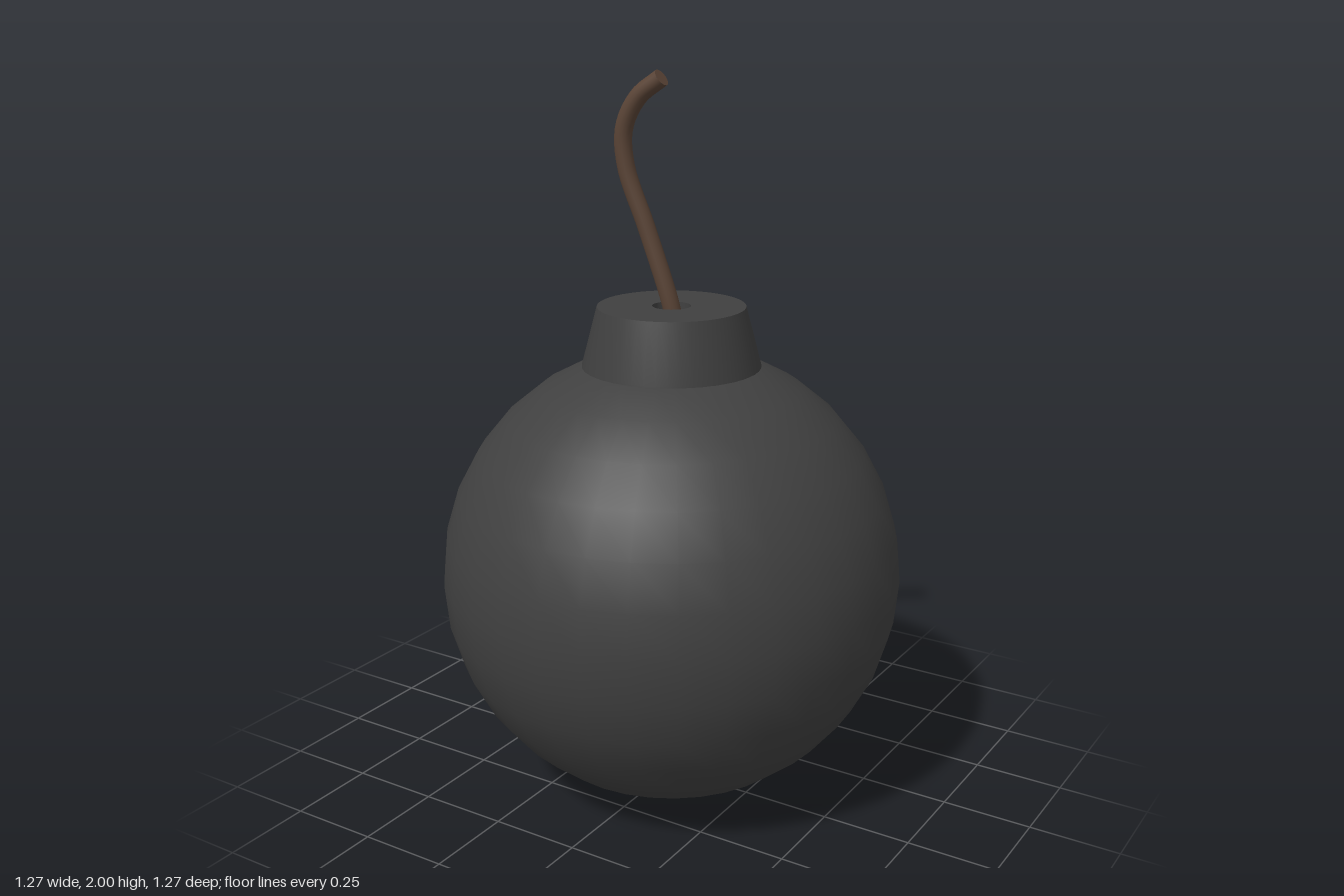
import * as THREE from 'three';
import { toCreasedNormals } from 'three/addons/utils/BufferGeometryUtils.js';

const v2 = (x, y) => new THREE.Vector2(x, y);
const v3 = (x, y, z) => new THREE.Vector3(x, y, z);

export function createModel() {
  const model = new THREE.Group();
  const iron = new THREE.MeshStandardMaterial({ color: 0x404040 });
  const cord = new THREE.MeshStandardMaterial({ color: 0x5a4436 });

  const add = (name, geometry, material, parent = model) => {
    const mesh = new THREE.Mesh(geometry, material);
    mesh.name = name;
    parent.add(mesh);
    return mesh;
  };

  // Round body resting on the ground
  const radius = 0.635;
  add('body', new THREE.SphereGeometry(radius, 32, 16), iron).position.y = radius;

  // Tapered neck with a shallow fuse hole in its top
  const profile = [
    v2(0.245, 1.2), v2(0.242, 1.225), v2(0.2, 1.385),
    v2(0.052, 1.385), v2(0.052, 1.32), v2(0, 1.32),
  ];
  add('neck', toCreasedNormals(new THREE.LatheGeometry(profile, 48), Math.PI / 5), iron);

  // Curved fuse rising out of the hole
  const fuse = new THREE.Group();
  fuse.name = 'fuse';
  model.add(fuse);
  const path = new THREE.CatmullRomCurve3([
    v3(0.01, 1.32, -0.008),
    v3(-0.005, 1.4, 0.002),
    v3(-0.065, 1.59, 0.02),
    v3(-0.117, 1.75, 0.038),
    v3(-0.118, 1.85, 0.044),
    v3(-0.075, 1.93, 0.043),
    v3(-0.007, 1.981, 0.037),
  ]);
  const fuseRadius = 0.024;
  add('fuseCord', new THREE.TubeGeometry(path, 40, fuseRadius, 16), cord, fuse);

  // Flat cut end of the fuse
  const tip = add('fuseTip', new THREE.CircleGeometry(fuseRadius, 16), cord, fuse);
  tip.position.copy(path.getPoint(1));
  tip.quaternion.setFromUnitVectors(v3(0, 0, 1), path.getTangent(1));

  return model;
}
